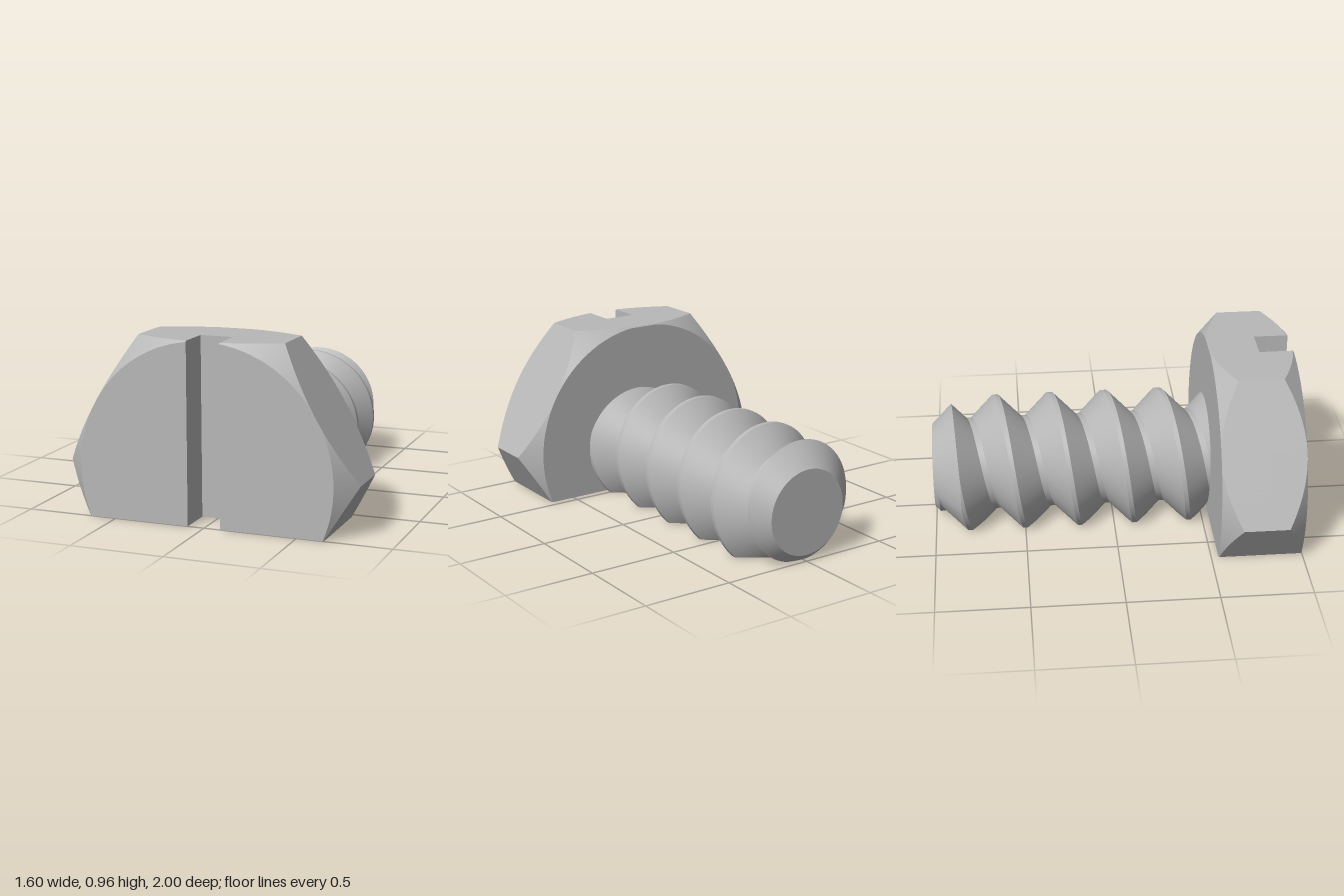
import * as THREE from 'three';
import { toCreasedNormals } from 'three/addons/utils/BufferGeometryUtils.js';

const AXIS_Y = 0.27;                  // height of the bolt axis; the underside is cut flat at y = 0
const APOTHEM = 0.693;                // hex head, centre to flat
const HEAD_BACK = 0.54, HEAD_FRONT = 1, SLOT_FLOOR = 0.81, SLOT_HALF = 0.09;
const PITCH = 0.308, CREST = 0.385, ROOT = 0.26, CREST_HALF = 0.0125;
const TIP_Z = -1, TIP_R = 0.235;

const polar = (r, a, z) => new THREE.Vector3(r * Math.cos(a), r * Math.sin(a), z);
// Radius at which the flat underside limits a ray at this angle
const cutRadius = (a) => (Math.sin(a) < -1e-6 ? AXIS_Y / -Math.sin(a) : Infinity);

// Skin a list of columns (angle increasing, z increasing along each column)
function skin(columns, closed) {
  const pos = [], n = columns.length;
  const tri = (a, b, c) => {
    const area = b.clone().sub(a).cross(c.clone().sub(a)).length();
    if (area > 1e-9) for (const p of [a, b, c]) pos.push(p.x, p.y, p.z);
  };
  for (let i = 0; i < (closed ? n : n - 1); i++) {
    const a = columns[i], b = columns[(i + 1) % n];
    for (let j = 0; j < a.length - 1; j++) {
      tri(a[j], b[j], b[j + 1]);
      tri(a[j], b[j + 1], a[j + 1]);
    }
  }
  const g = new THREE.BufferGeometry();
  g.setAttribute('position', new THREE.Float32BufferAttribute(pos, 3));
  return toCreasedNormals(g, 0.4);
}

// Hexagon outline trimmed by the flat underside
function headRadius(a) {
  const s = Math.PI / 3;
  const local = (((a % s) + s) % s) - s / 2;
  return Math.min(APOTHEM / Math.cos(local), cutRadius(a));
}

// Angles around the right-hand half of the head, including every corner
function halfAngles() {
  const start = Math.atan2(-AXIS_Y, SLOT_HALF), end = Math.atan2(APOTHEM, SLOT_HALF);
  const cornerX = (APOTHEM * 2 - AXIS_Y) / Math.sqrt(3);
  const list = [start, end, Math.atan2(-AXIS_Y, cornerX), Math.asin(-AXIS_Y / APOTHEM)];
  for (let d = -70; d <= 82; d += 2) list.push((d * Math.PI) / 180);
  return list.sort((p, q) => p - q);
}

// One column of thread points: a trapezoid ridge, widened where the underside cuts it
function threadColumn(a) {
  const r = Math.min(CREST, cutRadius(a));
  const half = CREST_HALF + CREST - r;
  const foot = CREST_HALF + CREST - ROOT;
  const pts = [];
  for (let n = -5; n <= 2; n++) {
    const z = (a / (2 * Math.PI) + n - 0.25) * PITCH;
    pts.push([z - half, r], [z + half, r], [z + foot, ROOT], [z + PITCH - foot, ROOT]);
  }
  // Trim with the 45 degree cone at the tip
  const over = ([z, rad]) => rad - (TIP_R + z - TIP_Z);
  return pts.map((p, i) => {
    const d = over(p);
    if (d <= 0) return polar(p[1], a, Math.min(p[0], 0.7));
    const q = pts[i + 1], e = over(q);
    if (e > 0) return polar(TIP_R, a, TIP_Z);
    const t = d / (d - e);
    return polar(p[1] + (q[1] - p[1]) * t, a, p[0] + (q[0] - p[0]) * t);
  });
}

export function createModel() {
  const group = new THREE.Group();
  group.name = 'slottedHexBolt';
  const steel = new THREE.MeshStandardMaterial({ color: 0xb8b8b8 });
  steel.name = 'grey steel';
  const add = (name, geometry) => {
    const mesh = new THREE.Mesh(geometry, steel);
    mesh.name = name;
    mesh.position.y += AXIS_Y;
    group.add(mesh);
    return mesh;
  };

  const right = halfAngles();
  const left = right.map((a) => Math.PI - a).reverse();

  // Rear of the head, with its chamfered back face
  add('headBase', skin([...right, ...left].map((a) => {
    const r = headRadius(a), c = Math.max(0, r - APOTHEM);
    return [
      new THREE.Vector3(0, 0, HEAD_BACK),
      polar(Math.min(r, APOTHEM), a, HEAD_BACK),
      polar(r, a, HEAD_BACK + c),
      polar(r, a, SLOT_FLOOR),
    ];
  }), true));

  // Two front halves of the head, one on each side of the slot
  for (const [name, angles, side] of [['leftHeadHalf', right, 1], ['rightHeadHalf', left, -1]]) {
    add(name, skin(angles.map((a) => {
      const r = headRadius(a), c = Math.max(0, r - APOTHEM);
      return [
        polar(r, a, SLOT_FLOOR),
        polar(r, a, HEAD_FRONT - c),
        polar(Math.min(r, APOTHEM), a, HEAD_FRONT),
        new THREE.Vector3(side * 0.3, 0.1, HEAD_FRONT),
      ];
    }), true));
  }

  // Floor of the screwdriver slot
  const floor = add('slotFloor', new THREE.PlaneGeometry(SLOT_HALF * 2, APOTHEM + AXIS_Y));
  floor.position.set(0, (APOTHEM + AXIS_Y) / 2, SLOT_FLOOR);

  // Threaded shank
  const turn = [];
  for (let i = 0; i <= 120; i++) turn.push((i / 120) * Math.PI * 2);
  const cut = Math.asin(AXIS_Y / CREST);
  turn.push(Math.PI + cut, 2 * Math.PI - cut);
  turn.sort((p, q) => p - q);
  add('thread', skin(turn.map(threadColumn), false));

  // Flat end of the shank
  const tip = add('shankEnd', new THREE.CircleGeometry(TIP_R, 120));
  tip.rotation.y = Math.PI;
  tip.position.z = TIP_Z;

  return group;
}
